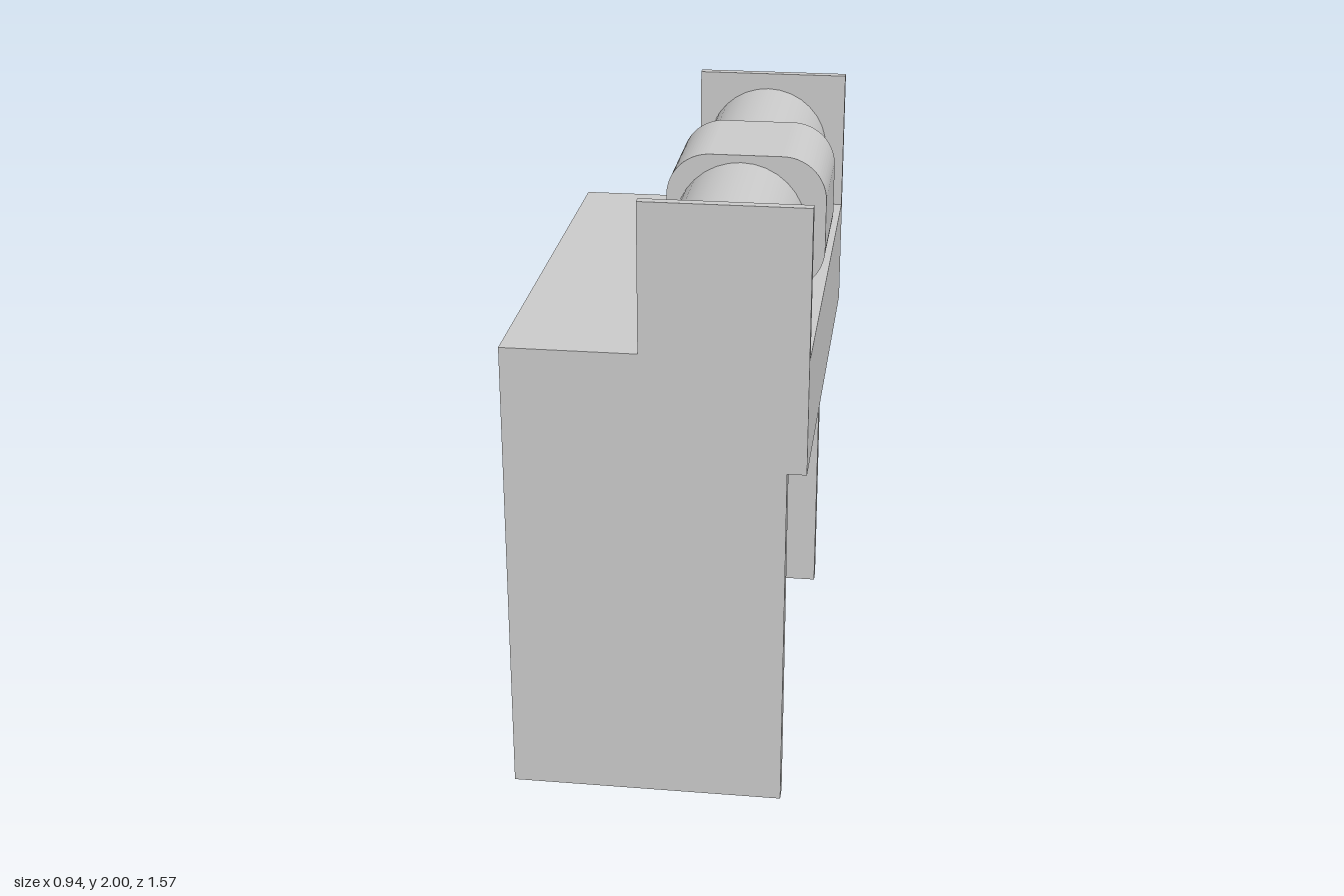
import * as THREE from 'three';

const material = new THREE.MeshStandardMaterial({ color: 0xcccccc });

export function createModel() {
  const model = new THREE.Group();
  model.name = 'fireplaceCabinet';

  // Box given by its limits on each axis
  const box = (name, [x0, x1], [y0, y1], [z0, z1], parent = model) => {
    const mesh = new THREE.Mesh(new THREE.BoxGeometry(x1 - x0, y1 - y0, z1 - z0), material);
    mesh.position.set((x0 + x1) / 2, (y0 + y1) / 2, (z0 + z1) / 2);
    mesh.name = name;
    parent.add(mesh);
  };

  const back = -0.47, front = 0.405, lip = 0.465;
  const half = 0.785, inner = 0.73, top = 1.527;
  const backInner = -0.415;

  // Cabinet shell, open at the front and underneath
  box('backPanel', [back, backInner], [0, top], [-inner, inner]);
  box('topPanel', [backInner, front], [1.443, top], [-inner, inner]);
  box('frontBeam', [front, lip], [1.16, top], [-half, half]);
  for (const s of [1, -1]) {
    const span = (a, b) => (s > 0 ? [a, b] : [-b, -a]);
    const side = s > 0 ? 'left' : 'right';
    box(side + 'SidePanel', [back, front], [0, top], span(inner, half));
    box(side + 'EndPlate', [-0.048, lip], [top, 2], span(0.753, half));
  }

  // Roller between the end plates
  const roller = new THREE.Mesh(new THREE.CylinderGeometry(0.21, 0.21, 1.506, 32, 1, true), material);
  roller.name = 'roller';
  roller.rotation.x = Math.PI / 2;
  roller.position.set(0.193, 1.736, 0);
  model.add(roller);

  // Rounded sleeve around the roller, with smooth corners
  const x0 = -0.045, x1 = lip, y0 = top, y1 = 1.97, r = 0.14;
  const outline = new THREE.Shape();
  outline.absarc(x1 - r, y0 + r, r, -Math.PI / 2, 0);
  outline.absarc(x1 - r, y1 - r, r, 0, Math.PI / 2);
  outline.absarc(x0 + r, y1 - r, r, Math.PI / 2, Math.PI);
  outline.absarc(x0 + r, y0 + r, r, Math.PI, Math.PI * 1.5);
  outline.closePath();
  const sleeve = new THREE.Mesh(
    new THREE.ExtrudeGeometry(outline, { depth: 0.405, bevelEnabled: false, curveSegments: 12 }),
    material
  );
  sleeve.name = 'rollerSleeve';
  sleeve.position.z = -0.23;
  model.add(sleeve);

  // Low shelf unit inside the cabinet
  const shelves = new THREE.Group();
  shelves.name = 'shelfUnit';
  model.add(shelves);
  const depth = [backInner, 0.09];
  box('shelfTop', depth, [0.387, 0.422], [-0.403, inner], shelves);
  box('middleShelf', depth, [0.185, 0.2], [-0.387, 0.71], shelves);
  box('shelfLeftEnd', depth, [0, 0.387], [0.71, inner], shelves);
  box('shelfRightEnd', depth, [0, 0.387], [-0.403, -0.387], shelves);
  for (const z of [0.45, -0.073])
    box('upperDivider', depth, [0.2, 0.387], [z - 0.007, z + 0.007], shelves);
  box('lowerDivider', depth, [0, 0.185], [0.175, 0.19], shelves);

  return model;
}
